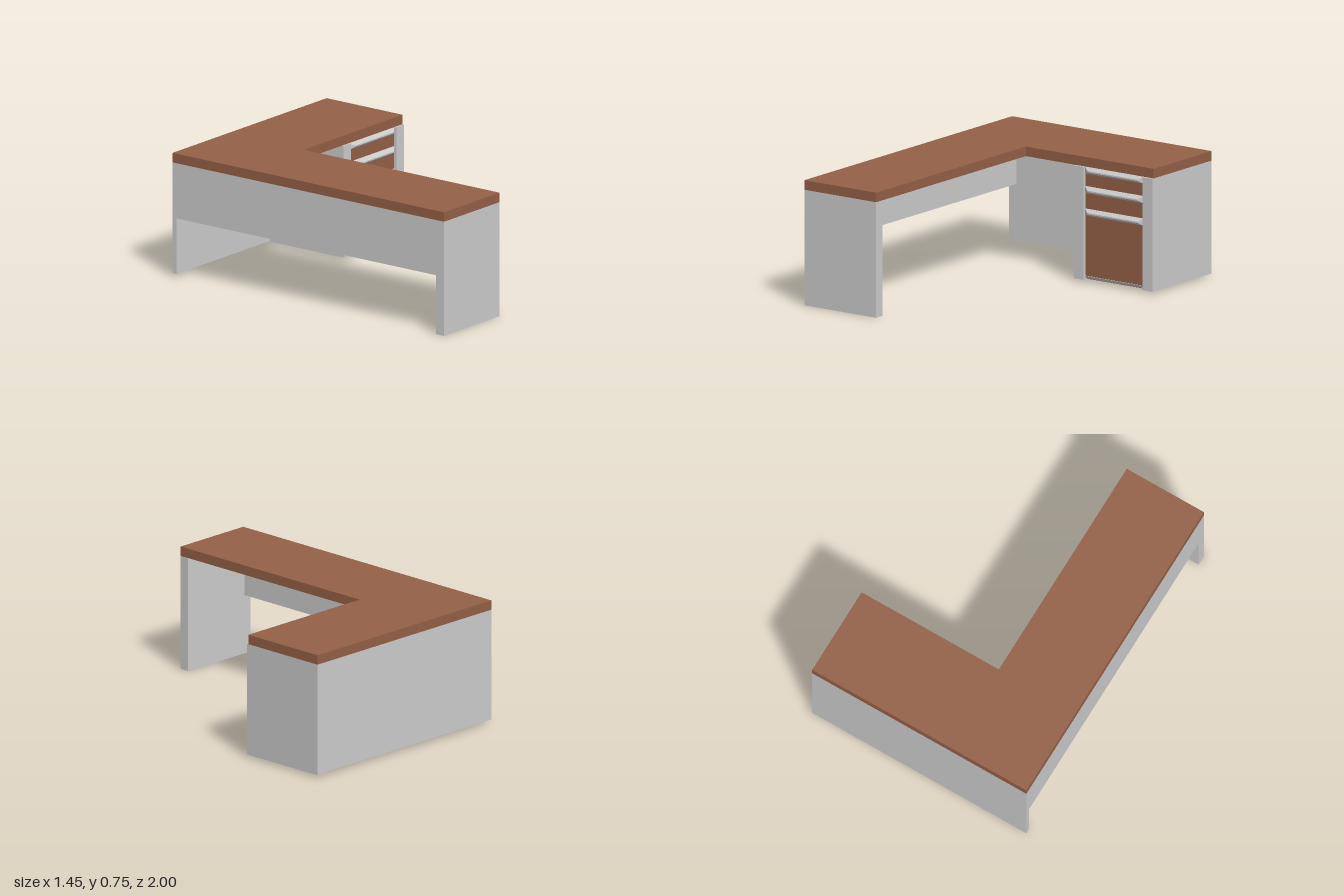
import * as THREE from 'three';
import { ConvexGeometry } from 'three/addons/geometries/ConvexGeometry.js';

const grey = new THREE.MeshStandardMaterial({ color: 0xcccccc, flatShading: true });
const wood = new THREE.MeshStandardMaterial({ color: 0x946046, flatShading: true });

// Box given by its extents on each axis
function slab(name, material, [x0, x1], [y0, y1], [z0, z1]) {
  const mesh = new THREE.Mesh(new THREE.BoxGeometry(x1 - x0, y1 - y0, z1 - z0), material);
  mesh.position.set((x0 + x1) / 2, (y0 + y1) / 2, (z0 + z1) / 2);
  mesh.name = name;
  return mesh;
}

// Drawer pull: wide at the back, bevelled to a shorter, narrow front strip
function drawerPull(y) {
  const points = [];
  const ring = (x0, x1, y0, y1, z) => {
    for (const px of [x0, x1]) for (const py of [y0, y1]) points.push(new THREE.Vector3(px, py, z));
  };
  ring(0.226, 0.649, y, y + 0.04, -0.455);
  ring(0.226, 0.649, y, y + 0.04, -0.443);
  ring(0.255, 0.62, y + 0.014, y + 0.022, -0.425);
  const mesh = new THREE.Mesh(new ConvexGeometry(points), grey);
  mesh.name = 'drawerPull';
  return mesh;
}

export function createModel() {
  const desk = new THREE.Group();
  desk.name = 'cornerDesk';

  // L-shaped worktop, drawn in plan (shape y is -z) and extruded upward
  const plan = new THREE.Shape([
    [-0.723, -1], [-0.203, -1], [-0.203, 0.442], [0.723, 0.442], [0.723, 1], [-0.723, 1],
  ].map(([x, y]) => new THREE.Vector2(x, y)));
  const topGeometry = new THREE.ExtrudeGeometry(plan, { depth: 0.057, bevelEnabled: false });
  topGeometry.rotateX(-Math.PI / 2);
  const top = new THREE.Mesh(topGeometry, wood);
  top.position.y = 0.688;
  top.name = 'worktop';
  desk.add(top);

  // Supporting panels
  desk.add(
    slab('endPanel', grey, [-0.723, -0.203], [0, 0.688], [0.94, 1]),
    slab('sideModestyPanel', grey, [-0.723, -0.67], [0.355, 0.688], [-0.97, 0.94]),
    slab('backPanel', grey, [-0.723, 0.723], [0.02, 0.688], [-1, -0.97]),
  );

  // Drawer pedestal
  const pedestal = new THREE.Group();
  pedestal.name = 'drawerPedestal';
  pedestal.add(
    slab('pedestalInnerSide', grey, [0.155, 0.225], [0.015, 0.688], [-0.998, -0.43]),
    slab('pedestalOuterSide', grey, [0.65, 0.723], [0.015, 0.688], [-0.999, -0.43]),
    slab('drawerBody', wood, [0.225, 0.65], [0.018, 0.688], [-0.97, -0.455]),
  );

  // Drawer fronts, each with a pull along its top edge
  for (const [bottom, pullY] of [[0.573, 0.646], [0.438, 0.529], [0.038, 0.396]]) {
    pedestal.add(
      slab('drawerFront', wood, [0.227, 0.648], [bottom, pullY], [-0.457, -0.445]),
      drawerPull(pullY),
    );
  }

  // Undercut strip beneath the lowest drawer
  const strip = [];
  for (const x of [0.226, 0.649]) {
    for (const [y, z] of [[0.038, -0.458], [0.038, -0.44], [0.02, -0.455]]) {
      strip.push(new THREE.Vector3(x, y, z));
    }
  }
  const toeStrip = new THREE.Mesh(new ConvexGeometry(strip), grey);
  toeStrip.name = 'toeStrip';
  pedestal.add(toeStrip);

  desk.add(pedestal);
  return desk;
}
